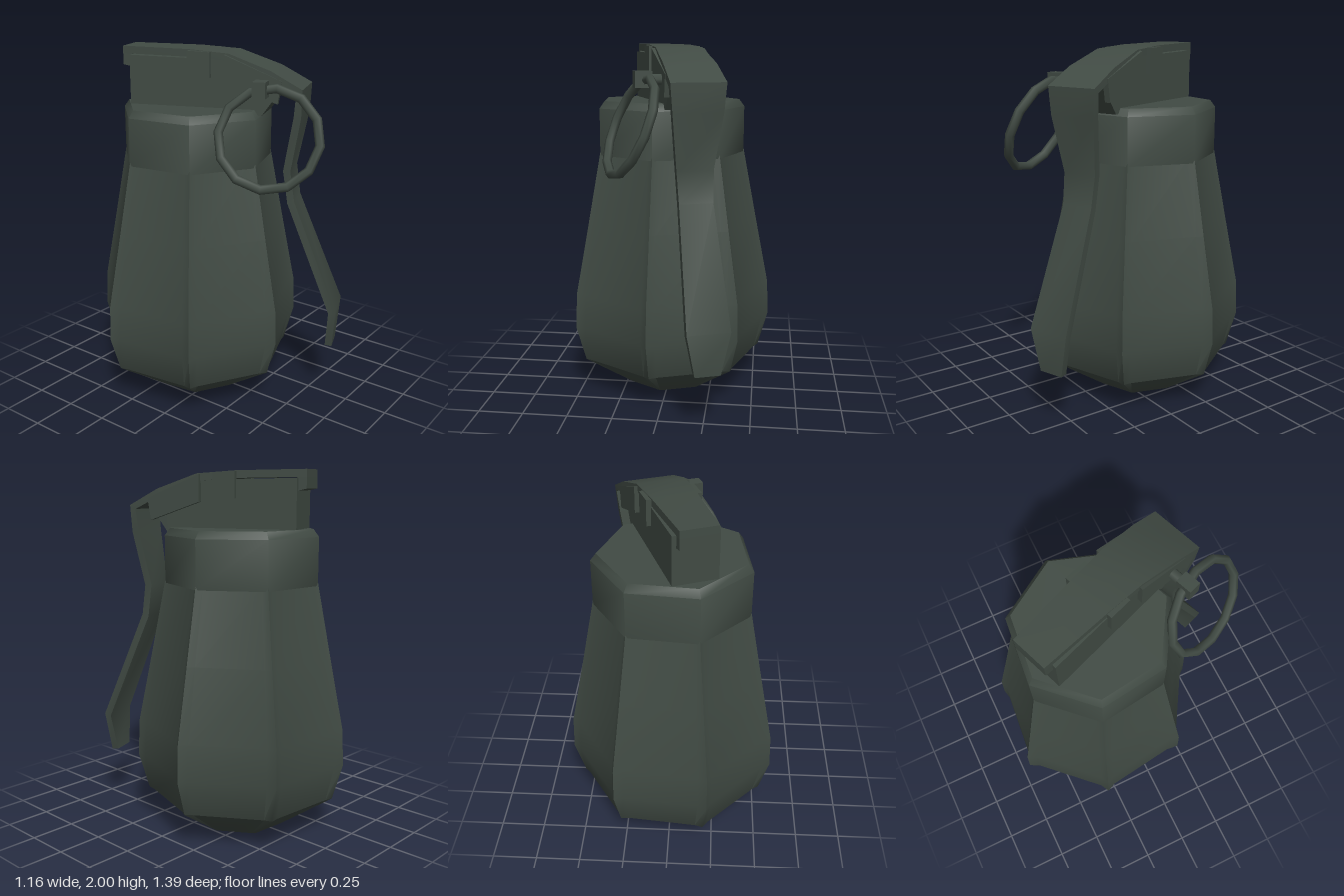
import * as THREE from 'three';
import { toCreasedNormals } from 'three/addons/utils/BufferGeometryUtils.js';

// Skin a closed shell over a list of cross-section rings (bottom to top, turning from +x to +z)
function loft(rings, crease) {
  const pos = [];
  const tri = (a, b, c) => pos.push(...a, ...b, ...c);
  const n = rings[0].length;
  for (let i = 0; i < rings.length - 1; i++) {
    for (let j = 0; j < n; j++) {
      const k = (j + 1) % n;
      const a = rings[i][j], b = rings[i][k], c = rings[i + 1][j], d = rings[i + 1][k];
      tri(a, c, b);
      tri(b, c, d);
    }
  }
  const last = rings[rings.length - 1];
  for (let j = 1; j < n - 1; j++) {
    tri(rings[0][0], rings[0][j], rings[0][j + 1]);
    tri(last[0], last[j + 1], last[j]);
  }
  const g = new THREE.BufferGeometry();
  g.setAttribute('position', new THREE.Float32BufferAttribute(pos, 3));
  return toCreasedNormals(g, crease);
}

const SIDES = 7, PHASE = -0.13, STEP = Math.PI * 2 / SIDES;
const polar = (r, a, y) => [r * Math.cos(a), y, r * Math.sin(a)];

// Seven-sided ring with a narrow raised ridge on every corner
function ridgedRing([y, ridge, flat]) {
  const ring = [];
  for (let i = 0; i < SIDES; i++) {
    const a = PHASE + i * STEP;
    ring.push(polar(flat, a - 0.07, y), polar(ridge, a, y), polar(flat, a + 0.07, y));
  }
  return ring;
}

function plainRing([y, r]) {
  return Array.from({ length: SIDES }, (_, i) => polar(r, PHASE + i * STEP, y));
}

// Bent strip: path of [z, y, width] with its outer face on the path
function strip(path, thickness) {
  const rings = path.map(([z, y, w], i) => {
    const a = path[Math.max(i - 1, 0)], b = path[Math.min(i + 1, path.length - 1)];
    const len = Math.hypot(b[0] - a[0], b[1] - a[1]);
    const nz = -(b[1] - a[1]) / len * thickness, ny = (b[0] - a[0]) / len * thickness;
    const h = w / 2;
    return [[-h, y, z], [h, y, z], [h, y - ny, z - nz], [-h, y - ny, z - nz]];
  });
  return loft(rings, 0.5);
}

// Side profile of [z, y] points, extruded across x
function slab(points, x0, x1) {
  const shape = new THREE.Shape(points.map(([z, y]) => new THREE.Vector2(-z, y)));
  const g = new THREE.ExtrudeGeometry(shape, { depth: x1 - x0, bevelEnabled: false });
  return g.rotateY(Math.PI / 2).translate(x0, 0, 0);
}

export function createModel() {
  const model = new THREE.Group();
  const metal = new THREE.MeshStandardMaterial({ color: 0x414b44 });
  metal.name = 'dark green metal';

  const add = (parent, name, geometry) => {
    const mesh = new THREE.Mesh(geometry, metal);
    mesh.name = name;
    parent.add(mesh);
    return mesh;
  };

  // Everything but the ring shares the body axis
  const shell = new THREE.Group();
  shell.name = 'shell';
  shell.position.set(-0.01, 0, -0.139);
  model.add(shell);

  // Ridged body: [height, ridge radius, panel radius]
  add(shell, 'body', loft([
    [0.005, 0.25, 0.243], [0.2, 0.54, 0.515], [0.4, 0.597, 0.56],
    [0.6, 0.59, 0.55], [1.0, 0.51, 0.485], [1.41, 0.43, 0.405],
  ].map(ridgedRing), 0.7));

  // Collar with a chamfered top
  add(shell, 'collar', loft([
    [1.39, 0.43], [1.65, 0.43], [1.69, 0.4],
  ].map(plainRing), 0.91));

  // Head and lever are turned about the body axis
  const head = new THREE.Group();
  head.name = 'head';
  head.rotation.y = 0.36;
  shell.add(head);

  add(head, 'headBlock', slab([
    [-0.34, 1.66], [0.4, 1.66], [0.5, 1.8], [0.42, 1.87], [0.22, 1.945], [-0.34, 1.955],
  ], -0.12, 0.12));

  // Lever: top plate, bend and long hanging handle
  add(head, 'lever', strip([
    [-0.385, 2.0, 0.196], [0, 1.995, 0.235], [0.22, 1.98, 0.26], [0.45, 1.9, 0.285],
    [0.62, 1.81, 0.295], [0.615, 1.66, 0.27], [0.56, 1.36, 0.2], [0.585, 1.19, 0.185],
    [0.842, 0.57, 0.235], [0.826, 0.335, 0.14],
  ], 0.04));

  // Lip hooked over the back of the block
  add(head, 'backLip', slab([
    [-0.385, 1.9], [-0.335, 1.89], [-0.335, 1.97], [-0.385, 2.0],
  ], -0.098, 0.098));

  // Folded tabs on both sides of the lever
  for (const side of [-1, 1]) {
    const span = (a, b) => side > 0 ? [a, b] : [-b, -a];
    add(head, 'sideTab', slab([
      [-0.005, 1.85], [0.12, 1.85], [0.12, 1.985], [-0.005, 1.99],
    ], ...span(0.115, 0.145)));
    add(head, 'frontFlap', slab([
      [0.2, 1.83], [0.49, 1.73], [0.51, 1.85], [0.2, 1.975],
    ], ...span(0.115, 0.148)));
  }

  // Pin through the head, with a collar that holds the ring
  const pin = add(head, 'pin', new THREE.CylinderGeometry(0.03, 0.03, 0.2, 6));
  pin.rotation.z = Math.PI / 2;
  pin.position.set(-0.19, 1.82, 0.42);
  const eye = add(head, 'pinEye', new THREE.BoxGeometry(0.09, 0.085, 0.07));
  eye.position.set(-0.245, 1.82, 0.42);

  // Pull ring hanging from the pin
  const ring = add(model, 'pullRing', new THREE.TorusGeometry(0.262, 0.025, 6, 12));
  ring.position.set(-0.143, 1.585, 0.43);
  ring.quaternion.setFromUnitVectors(
    new THREE.Vector3(0, 0, 1), new THREE.Vector3(0.82, -0.38, -0.42).normalize());

  return model;
}
